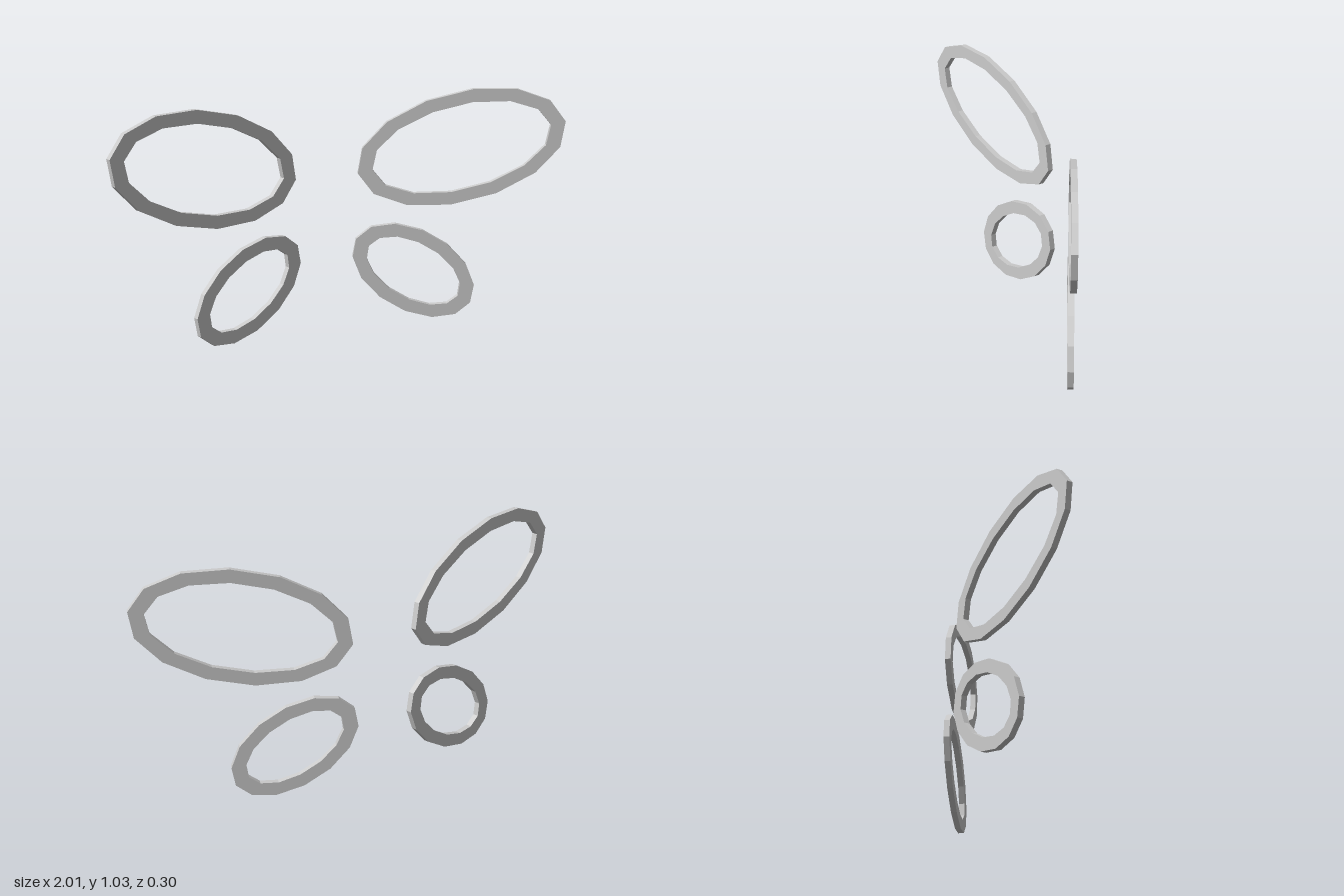
import * as THREE from 'three';

const SIDES = 14;    // corners of each ring
const DEPTH = 0.025; // thickness of each ring
const YAW = 0.31;    // outer ends swing forward

// corners of an oval polygon with one corner on the long axis
function oval(a, b) {
  return Array.from({ length: SIDES }, (_, i) => {
    const t = (i / SIDES) * Math.PI * 2;
    return new THREE.Vector2(a * Math.cos(t), b * Math.sin(t));
  });
}

// flat oval ring with square edges, centred on its own middle plane
function ringGeometry(a, b) {
  const shape = new THREE.Shape(oval(a, b));
  shape.holes.push(new THREE.Path(oval(a - 0.065, b - 0.056)));
  const geometry = new THREE.ExtrudeGeometry(shape, { depth: DEPTH, bevelEnabled: false });
  geometry.translate(0, 0, -DEPTH / 2);
  return geometry;
}

export function createModel() {
  const model = new THREE.Group();
  model.name = 'wingRings';
  const material = new THREE.MeshStandardMaterial({ color: 0xcccccc, flatShading: true });

  const rings = [
    { name: 'UpperWing', a: 0.462, b: 0.243, tilt: 0.24, at: [0.573, 0.773, 0.003] },
    { name: 'LowerWing', a: 0.296, b: 0.182, tilt: -0.54, at: [0.381, 0.219, -0.057] },
  ];

  for (const { name, a, b, tilt, at } of rings) {
    const geometry = ringGeometry(a, b);
    // mirrored pair
    for (const side of [1, -1]) {
      const ring = new THREE.Mesh(geometry, material);
      ring.name = (side > 0 ? 'left' : 'right') + name;
      ring.position.set(side * at[0], at[1], at[2]);
      ring.rotation.set(0, -side * YAW, side * tilt, 'YXZ');
      model.add(ring);
    }
  }
  return model;
}
